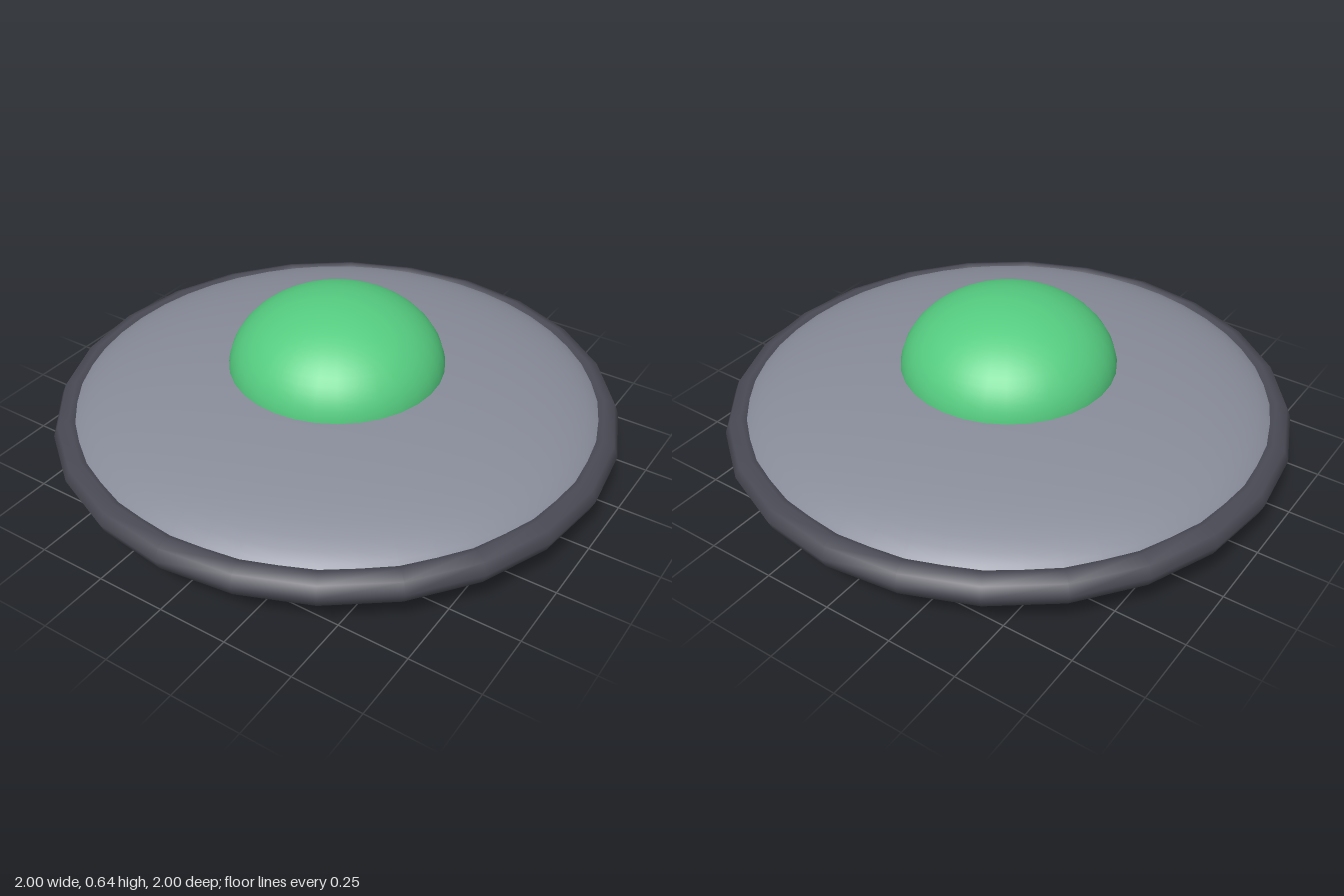
import * as THREE from 'three';

const paint = (color) => new THREE.MeshStandardMaterial({ color });

function addPart(group, name, geometry, material, x, y, z) {
  const mesh = new THREE.Mesh(geometry, material);
  mesh.name = name;
  mesh.position.set(x, y, z);
  group.add(mesh);
  return mesh;
}

export function createModel() {
  const group = new THREE.Group();
  group.name = 'flyingSaucer';
  const midY = 0.2;

  // Lens-shaped hull: a flattened sphere
  const hull = new THREE.SphereGeometry(1, 48, 32).scale(0.95, 0.2, 0.95);
  addPart(group, 'hull', hull, paint(0x888c99), 0, midY, 0);

  // Faceted rim around the widest part
  const rim = new THREE.TorusGeometry(0.944, 0.056, 8, 24).rotateX(Math.PI / 2);
  addPart(group, 'rim', rim, paint(0x4a4a55), 0, midY, 0);

  // Cockpit dome, sunk slightly into the hull
  const dome = new THREE.SphereGeometry(0.38, 32, 16, 0, Math.PI * 2, 0, Math.PI / 2).scale(1, 0.7, 1);
  const domeMaterial = paint(0x55cc80);
  domeMaterial.side = THREE.DoubleSide;
  addPart(group, 'dome', dome, domeMaterial, 0, 0.37, 0);

  // Ring of eight lights on the underside
  const light = new THREE.SphereGeometry(0.048, 16, 12).scale(1, 0.5, 1);
  const lightMaterial = paint(0xff4422);
  const lights = new THREE.Group();
  lights.name = 'undersideLights';
  for (let i = 0; i < 8; i++) {
    const a = (i / 8) * Math.PI * 2;
    addPart(lights, 'light', light, lightMaterial, Math.cos(a) * 0.8, 0.092, Math.sin(a) * 0.8);
  }
  group.add(lights);

  return group;
}
